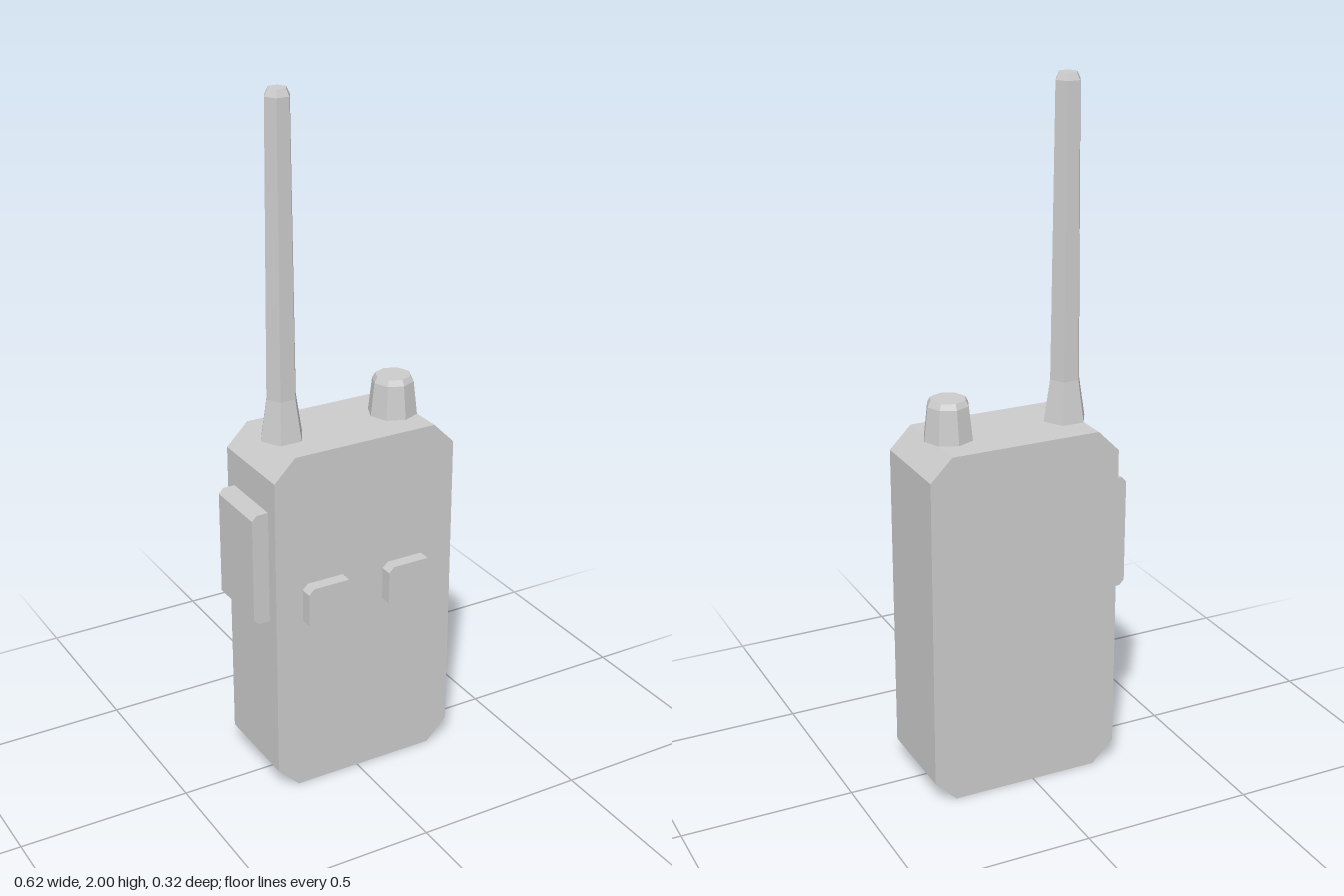
import * as THREE from 'three';

const material = new THREE.MeshStandardMaterial({ color: 0xcccccc, flatShading: true });

// Block with cut corners in the front outline, extruded from z0 to z1.
// Cuts: left corners, right corners.
function cutBlock(name, x0, x1, y0, y1, z0, z1, cutL, cutR = cutL) {
  const points = [
    [x0 + cutL, y0], [x1 - cutR, y0], [x1, y0 + cutR], [x1, y1 - cutR],
    [x1 - cutR, y1], [x0 + cutL, y1], [x0, y1 - cutL], [x0, y0 + cutL],
  ].map(([x, y]) => new THREE.Vector2(x, y));
  // Drop doubled corners where there is no cut
  const outline = points.filter((p, i) => p.distanceTo(points[(i + 1) % points.length]) > 1e-6);
  const geometry = new THREE.ExtrudeGeometry(new THREE.Shape(outline), { depth: z1 - z0, bevelEnabled: false });
  geometry.translate(0, 0, z0);
  const mesh = new THREE.Mesh(geometry, material);
  mesh.name = name;
  return mesh;
}

// Faceted turned part, closed at both ends, from [radius, height] pairs
function turned(name, profile, sides, phase, x, z) {
  const points = profile.map(([r, y]) => new THREE.Vector2(r, y));
  const mesh = new THREE.Mesh(new THREE.LatheGeometry(points, sides, phase), material);
  mesh.name = name;
  mesh.position.set(x, 0, z);
  return mesh;
}

export function createModel() {
  const model = new THREE.Group();
  model.name = 'handheldRadio';

  // Main case
  model.add(cutBlock('body', -0.26, 0.307, 0, 1.04, -0.16, 0.12, 0.064));

  // Two front buttons
  [-0.177, 0.08].forEach((x, i) => {
    model.add(cutBlock(i ? 'frontButtonLeft' : 'frontButtonRight', x, x + 0.143, 0.522, 0.65, 0.12, 0.157, 0.016));
  });

  // Talk button on the side
  model.add(cutBlock('sideButton', -0.309, -0.26, 0.54, 0.875, -0.12, 0.08, 0.015, 0));

  // Six-sided antenna with flared foot
  model.add(turned('antenna', [
    [0, 1.04], [0.064, 1.04], [0.045, 1.16], [0.037, 1.98], [0.027, 2], [0, 2],
  ], 6, Math.PI / 2, -0.162, -0.02));

  // Eight-sided volume knob
  model.add(turned('knob', [
    [0, 1.04], [0.071, 1.04], [0.06, 1.137], [0.051, 1.153], [0, 1.153],
  ], 8, 0, 0.192, -0.02));

  return model;
}
